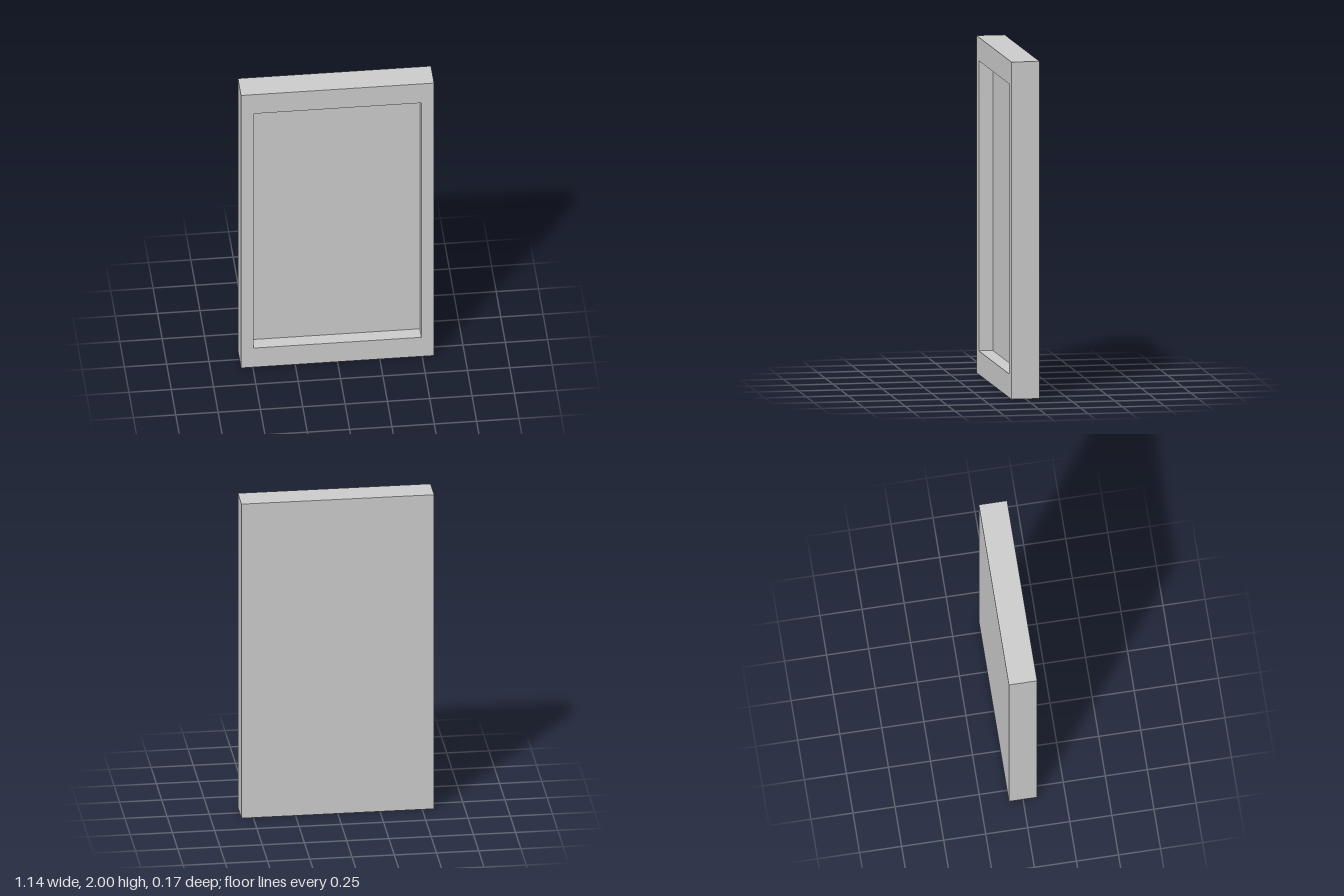
import * as THREE from 'three';

const HEIGHT = 2, HALF_W = 0.57, HALF_D = 0.084;
const OPENING_HALF_W = 0.495, OPENING_HALF_H = 0.86, FLOOR_Z = 0;

// Rectangular cross-section, counter-clockwise seen from the front
function rectangle(halfW, halfH, z) {
  return [[-1, -1], [1, -1], [1, 1], [-1, 1]].map(([sx, sy]) => [sx * halfW, HEIGHT / 2 + sy * halfH, z]);
}

// Closed flat-sided solid that runs through the sections in order
function loftRectangles(sections) {
  const positions = [];
  const quad = (a, b, c, d) => positions.push(...a, ...b, ...c, ...a, ...c, ...d);
  for (let s = 0; s < sections.length - 1; s++) {
    const a = sections[s], b = sections[s + 1];
    for (let i = 0; i < 4; i++) {
      const j = (i + 1) % 4;
      quad(a[i], a[j], b[j], b[i]);
    }
  }
  quad(...[...sections[0]].reverse());
  quad(...sections[sections.length - 1]);
  const geometry = new THREE.BufferGeometry();
  geometry.setAttribute('position', new THREE.Float32BufferAttribute(positions, 3));
  geometry.computeVertexNormals();
  return geometry;
}

export function createModel() {
  const group = new THREE.Group();
  group.name = 'recessedPanel';

  // Back, outer sides, front rim, recess walls and recess floor as one solid
  const geometry = loftRectangles([
    rectangle(HALF_W, HEIGHT / 2, -HALF_D),
    rectangle(HALF_W, HEIGHT / 2, HALF_D),
    rectangle(OPENING_HALF_W, OPENING_HALF_H, HALF_D),
    rectangle(OPENING_HALF_W, OPENING_HALF_H, FLOOR_Z),
  ]);
  const material = new THREE.MeshStandardMaterial({ color: 0xcccccc, flatShading: true });
  const panel = new THREE.Mesh(geometry, material);
  panel.name = 'framedPanel';
  group.add(panel);
  return group;
}
